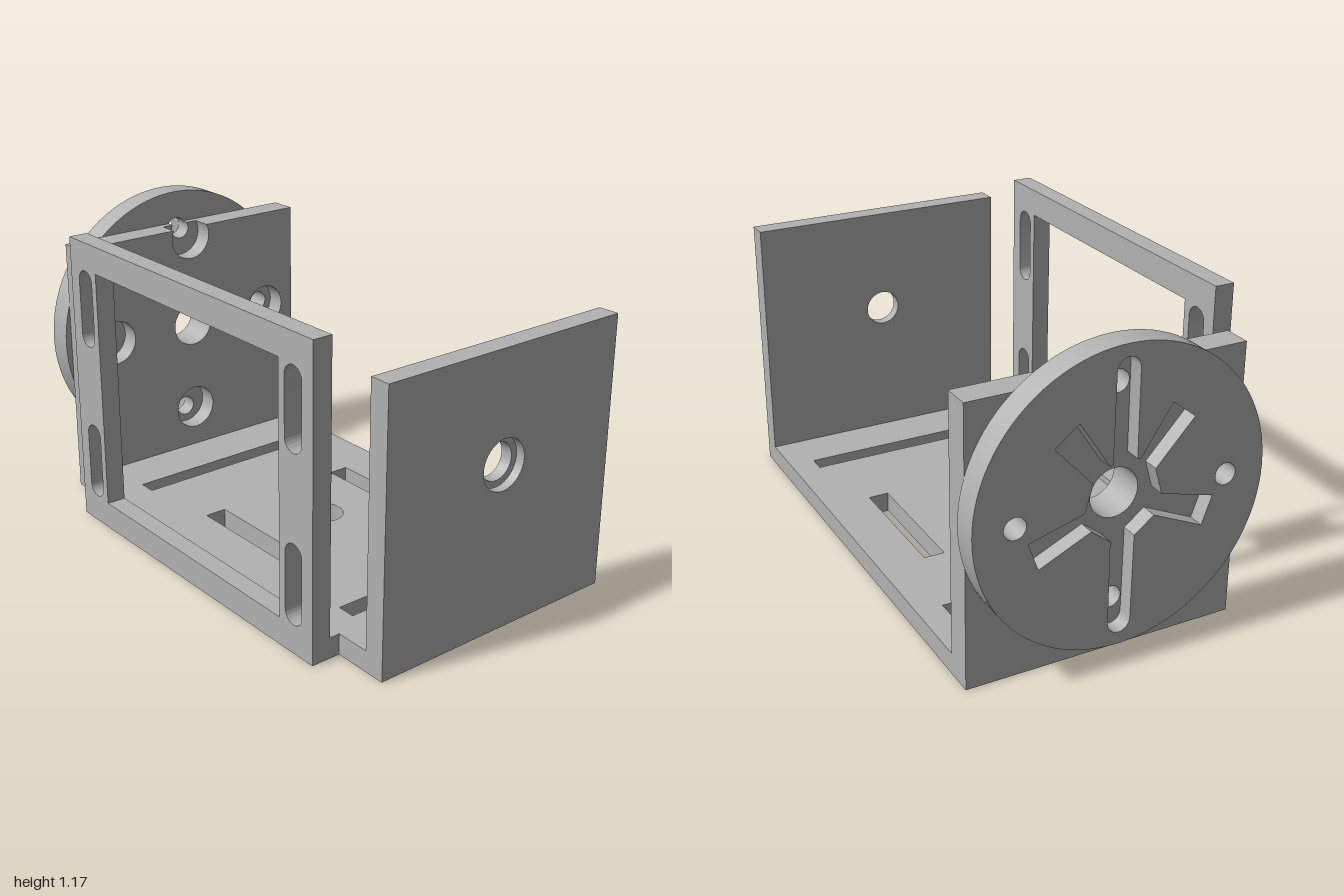
import * as THREE from 'three';
import { toCreasedNormals } from 'three/addons/utils/BufferGeometryUtils.js';

const CY = 0.625, CZ = -0.045; // pivot axis shared by both side walls

function rect(Type, x0, x1, y0, y1) {
  return new Type([[x0, y0], [x1, y0], [x1, y1], [x0, y1]].map(p => new THREE.Vector2(...p)));
}
const rectHole = (...b) => rect(THREE.Path, ...b);
const circleHole = (x, y, r) => new THREE.Path().absarc(x, y, r, 0, Math.PI * 2);

// upright slot with round ends
function slotHole(x, y0, y1, r) {
  const p = new THREE.Path();
  p.absarc(x, y1 - r, r, 0, Math.PI);
  p.absarc(x, y0 + r, r, Math.PI, Math.PI * 2);
  p.closePath();
  return p;
}

// wall outline with a round notch cut into its top edge
function notchedWall(cy, r) {
  const top = 1.04, a = Math.asin((top - cy) / r), half = r * Math.cos(a);
  const s = new THREE.Shape();
  s.moveTo(-0.565, 0);
  s.lineTo(0.475, 0);
  s.lineTo(0.475, top);
  s.lineTo(CZ + half, top);
  s.absarc(CZ, cy, r, a, -Math.PI - a, true);
  s.lineTo(-0.565, top);
  s.closePath();
  return s;
}

// star-shaped pocket: two long tapered arms and four short ones
function starHole() {
  const arms = [[-20, 0.35], [52, 0.35], [90, 0.5], [128, 0.35], [200, 0.35], [270, 0.5]];
  const pts = [];
  for (const [deg, len] of arms) {
    const a = THREE.MathUtils.degToRad(deg), c = Math.cos(a), s = Math.sin(a);
    const long = len > 0.4;
    const base = long ? 0.045 : 0.038, tip = long ? 0.043 : 0.055;
    const put = (r, w) => pts.push(new THREE.Vector2(CZ + r * c - w * s, CY + r * s + w * c));
    put(0.14, -base);
    if (long) {
      for (let i = 0; i <= 8; i++) {
        const t = -Math.PI / 2 + Math.PI * i / 8;
        put(len - tip + tip * Math.cos(t), tip * Math.sin(t));
      }
    } else {
      put(len, -tip);
      put(len, tip);
    }
    put(0.14, base);
  }
  return new THREE.Path(pts);
}

export function createModel() {
  const group = new THREE.Group();
  const grey = new THREE.MeshStandardMaterial({ color: 0xb2b2b2 });
  grey.name = 'grey';

  function plate(name, shape, holes, depth) {
    shape.holes.push(...holes);
    const geo = new THREE.ExtrudeGeometry(shape, { depth, bevelEnabled: false, curveSegments: 48 });
    const mesh = new THREE.Mesh(geo, grey);
    mesh.name = name;
    group.add(mesh);
    return mesh;
  }
  // plate drawn in (z, y), filling x0..x1
  function sidePlate(name, shape, holes, x0, x1) {
    const m = plate(name, shape, holes, x1 - x0);
    m.geometry = toCreasedNormals(m.geometry.rotateY(-Math.PI / 2).translate(x1, 0, 0), 0.5);
  }
  // four holes around the pivot axis, starting from +z
  const ring = (dist, r, which = [0, 1, 2, 3]) => which.map(i =>
    circleHole(CZ + dist * Math.cos(i * Math.PI / 2), CY + dist * Math.sin(i * Math.PI / 2), r));

  // floor with its front tongue, slots and centre hole
  const floorShape = new THREE.Shape([
    [-0.795, -0.565], [0.92, -0.565], [0.92, 0.475], [0.785, 0.475],
    [0.785, 0.515], [-0.66, 0.515], [-0.66, 0.475], [-0.795, 0.475],
  ].map(p => new THREE.Vector2(...p)));
  const floor = plate('floor', floorShape, [
    rectHole(-0.59, -0.52, -0.465, 0.365),
    rectHole(0.655, 0.725, -0.465, 0.365),
    rectHole(-0.2, 0.32, -0.385, -0.305),
    rectHole(-0.2, 0.32, 0.235, 0.32),
    circleHole(0.06, -0.048, 0.08),
  ], 0.08);
  floor.geometry = toCreasedNormals(floor.geometry.rotateX(Math.PI / 2).translate(0, 0.08, 0), 0.5);

  // front frame with window and mounting slots
  const frameHoles = [rectHole(-0.485, 0.61, 0.105, 1.04)];
  for (const x of [-0.56, 0.685]) {
    frameHoles.push(slotHole(x, 0.11, 0.412, 0.044), slotHole(x, 0.735, 1.035, 0.044));
  }
  const frame = plate('frontFrame', rect(THREE.Shape, -0.66, 0.785, 0, 1.145), frameHoles, 0.075);
  frame.geometry = toCreasedNormals(frame.geometry.translate(0, 0, 0.515), 0.5);

  // left wall: two layers make the stepped pivot hole
  for (const [name, x0, x1, r] of [['leftWallInner', 0.92, 0.965, 0.07], ['leftWallOuter', 0.965, 1, 0.095]]) {
    sidePlate(name, rect(THREE.Shape, -0.565, 0.475, 0, 1.04), [circleHole(CZ, CY, r)], x0, x1);
  }

  // right wall: screw holes counterbored from the inside
  for (const [name, x0, x1, dist, r] of [
    ['rightWallOuter', -0.9, -0.872, 0.395, 0.04], ['rightWallInner', -0.872, -0.795, 0.375, 0.09],
  ]) {
    sidePlate(name, notchedWall(CY + dist, r),
      [circleHole(CZ, CY, 0.09), ...ring(dist, r, [0, 2, 3])], x0, x1);
  }

  // round disc: drilled backing and a face with the star pocket
  const disc = () => new THREE.Shape().absarc(CZ, CY, 0.545, 0, Math.PI * 2);
  sidePlate('discBacking', disc(), [circleHole(CZ, CY, 0.09), ...ring(0.395, 0.04)], -0.94, -0.9);
  sidePlate('discFace', disc(), [starHole(), ...ring(0.395, 0.04, [0, 2])], -1, -0.94);

  return group;
}
